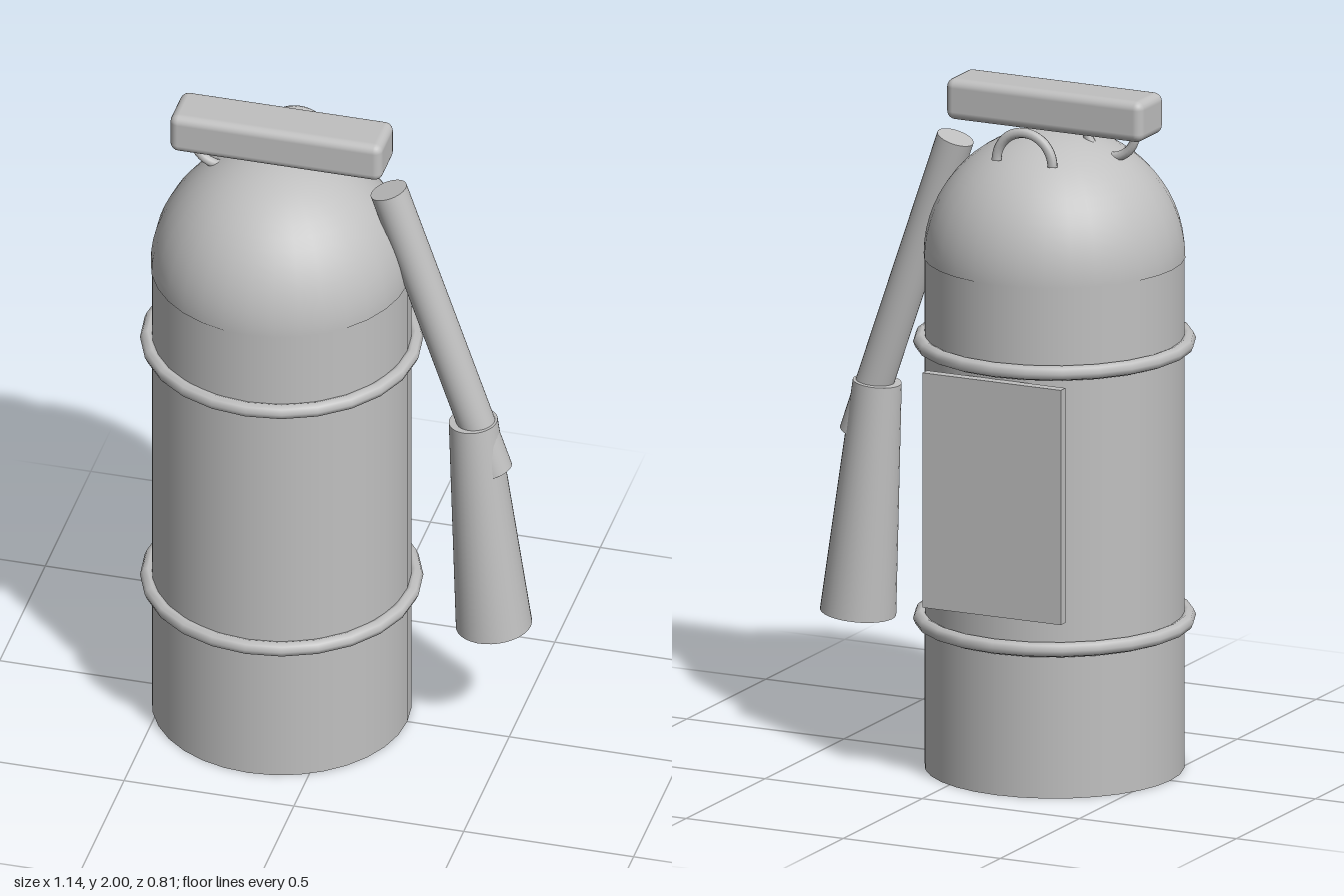
import * as THREE from 'three';
import { RoundedBoxGeometry } from 'three/addons/geometries/RoundedBoxGeometry.js';

const CX = -0.17; // tank axis
const R = 0.37; // tank radius

export function createModel() {
  const group = new THREE.Group();
  const grey = new THREE.MeshStandardMaterial({ color: 0xc0c0c0 });
  grey.name = 'grey';

  const add = (name, geometry, x = 0, y = 0, z = 0) => {
    const mesh = new THREE.Mesh(geometry, grey);
    mesh.name = name;
    mesh.position.set(x, y, z);
    group.add(mesh);
    return mesh;
  };

  // Capped cone between two points [x, y] in the z = 0 plane
  const rod = (name, from, to, rTop, rBottom) => {
    const a = new THREE.Vector3(...from, 0);
    const b = new THREE.Vector3(...to, 0);
    const axis = a.clone().sub(b);
    const mesh = add(name, new THREE.CylinderGeometry(rTop, rBottom, axis.length(), 32));
    mesh.position.copy(a).add(b).multiplyScalar(0.5);
    mesh.quaternion.setFromUnitVectors(new THREE.Vector3(0, 1, 0), axis.normalize());
    return mesh;
  };

  // Tank with a hemispherical top
  add('tank', new THREE.CylinderGeometry(R, R, 1.5, 32), CX, 0.75);
  add('tankDome', new THREE.SphereGeometry(R + 0.003, 32, 16, 0, Math.PI * 2, 0, Math.PI / 2), CX, 1.5);

  // Two bands around the tank
  for (const [name, y] of [['lowerBand', 0.44], ['upperBand', 1.253]]) {
    add(name, new THREE.TorusGeometry(0.381, 0.022, 8, 24).rotateX(Math.PI / 2), CX, y);
  }

  // Top lever, with a half ring trigger below it
  add('lever', new RoundedBoxGeometry(0.625, 0.12, 0.154, 3, 0.025), CX, 1.94);
  add('trigger', new THREE.TorusGeometry(0.078, 0.014, 8, 20, Math.PI).rotateX(Math.PI), -0.35, 1.89);

  // Carrying loop behind the lever
  add('carryLoop', new THREE.TorusGeometry(0.089, 0.015, 8, 20, Math.PI), CX, 1.815, -0.19);

  // Hose and flared horn
  rod('hose', [0.145, 1.81], [0.455, 0.908], 0.054, 0.054);
  rod('horn', [0.394, 1.065], [0.455, 0.38], 0.07, 0.109);

  // Flat mounting plate on the back
  add('mountingPlate', new THREE.BoxGeometry(0.44, 0.69, 0.03), CX, 0.877, -0.383);

  return group;
}
